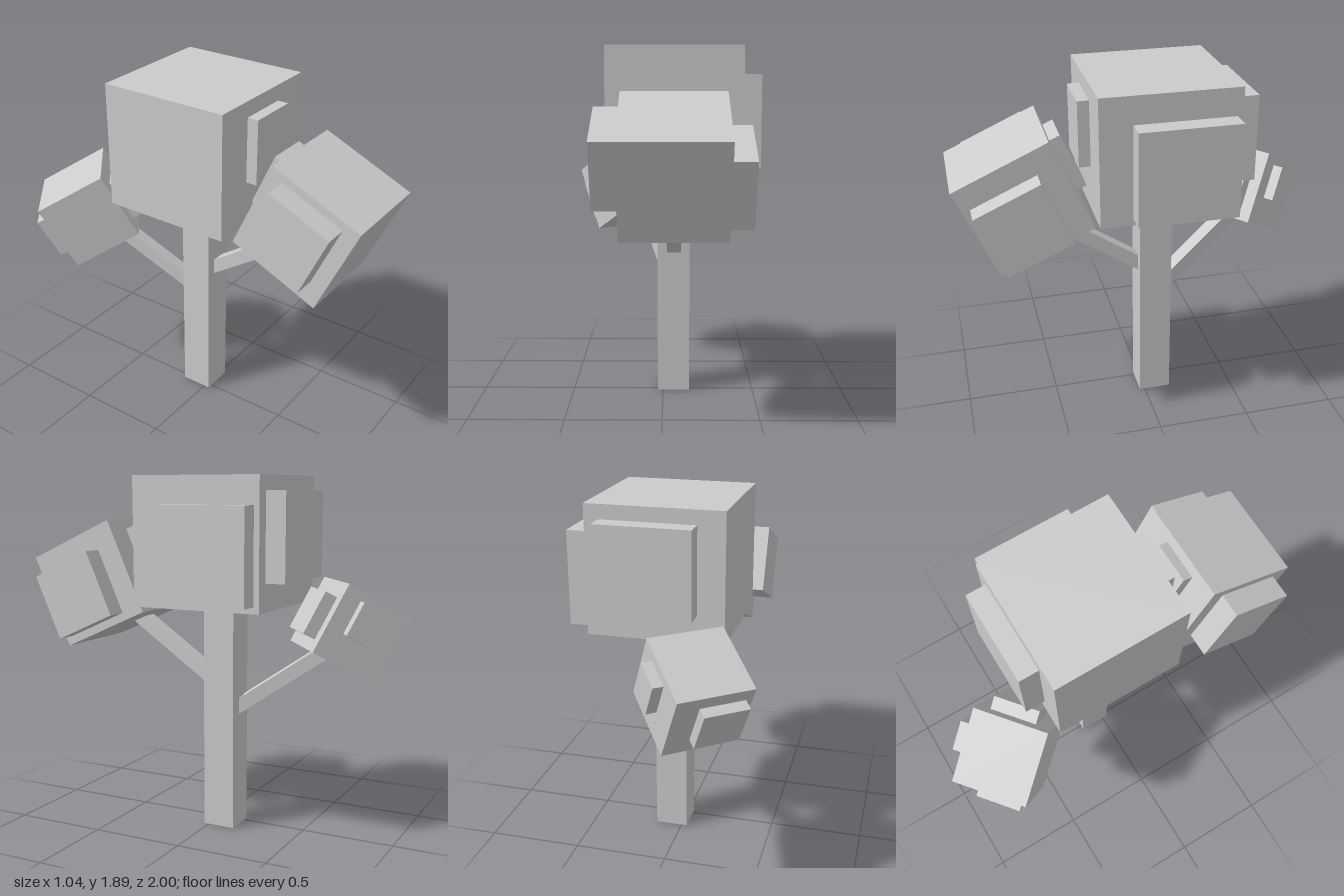
import * as THREE from 'three';

const material = new THREE.MeshStandardMaterial({ color: 0xcccccc, flatShading: true });

function box(parent, name, size, position) {
  const mesh = new THREE.Mesh(new THREE.BoxGeometry(...size), material);
  mesh.name = name;
  mesh.position.set(...position);
  parent.add(mesh);
  return mesh;
}

// Square beam running from one point to another
function branch(parent, name, from, to) {
  const a = new THREE.Vector3(...from), b = new THREE.Vector3(...to);
  const mid = a.clone().add(b).multiplyScalar(0.5);
  const beam = box(parent, name, [0.078, 0.072, a.distanceTo(b)], mid.toArray());
  beam.lookAt(b);
}

// Block of leaves with flat clumps on its faces; clumps are [size, position] in its own frame
function crown(parent, name, size, position, pitch, yaw, clumps) {
  const group = new THREE.Group();
  group.name = name;
  group.position.set(...position);
  group.rotation.set(pitch, yaw, 0, 'YXZ');
  box(group, 'leafBlock', size, [0, 0, 0]);
  clumps.forEach(([s, p]) => box(group, 'leafClump', s, p));
  parent.add(group);
}

export function createModel() {
  const tree = new THREE.Group();
  tree.name = 'tree';

  box(tree, 'trunk', [0.175, 1.23, 0.175], [0.058, 0.615, -0.058]);
  branch(tree, 'frontBranch', [0.06, 0.765, -0.06], [0.06, 1.18, 0.55]);
  branch(tree, 'backBranch', [0.065, 0.6, -0.035], [-0.12, 1.0, -0.6]);

  // Large crown on top of the trunk
  crown(tree, 'topCrown', [0.71, 0.67, 0.71], [0.06, 1.56, -0.06], 0, 0, [
    [[0.125, 0.49, 0.515], [0.3975, -0.055, -0.068]],
    [[0.275, 0.345, 0.08], [-0.003, 0.078, 0.375]],
    [[0.495, 0.45, 0.125], [0.033, 0.035, -0.3975]],
  ]);

  // Medium crown tipped forward
  crown(tree, 'frontCrown', [0.525, 0.527, 0.527], [0.058, 1.317, 0.65], 0.421, 0, [
    [[0.135, 0.363, 0.363], [0.31, -0.04, 0.039]],
    [[0.145, 0.363, 0.363], [-0.3155, 0.039, -0.001]],
    [[0.225, 0.31, 0.08], [0, 0.051, -0.281]],
  ]);

  // Small crown leaning back and to the right
  crown(tree, 'backCrown', [0.395, 0.395, 0.395], [-0.198, 1.086, -0.668], -0.5, 0.684, [
    [[0.244, 0.245, 0.09], [0.01, -0.012, 0.2225]],
    [[0.075, 0.19, 0.155], [0.215, 0.053, 0.022]],
    [[0.235, 0.235, 0.075], [-0.046, 0.01, -0.215]],
  ]);

  return tree;
}
